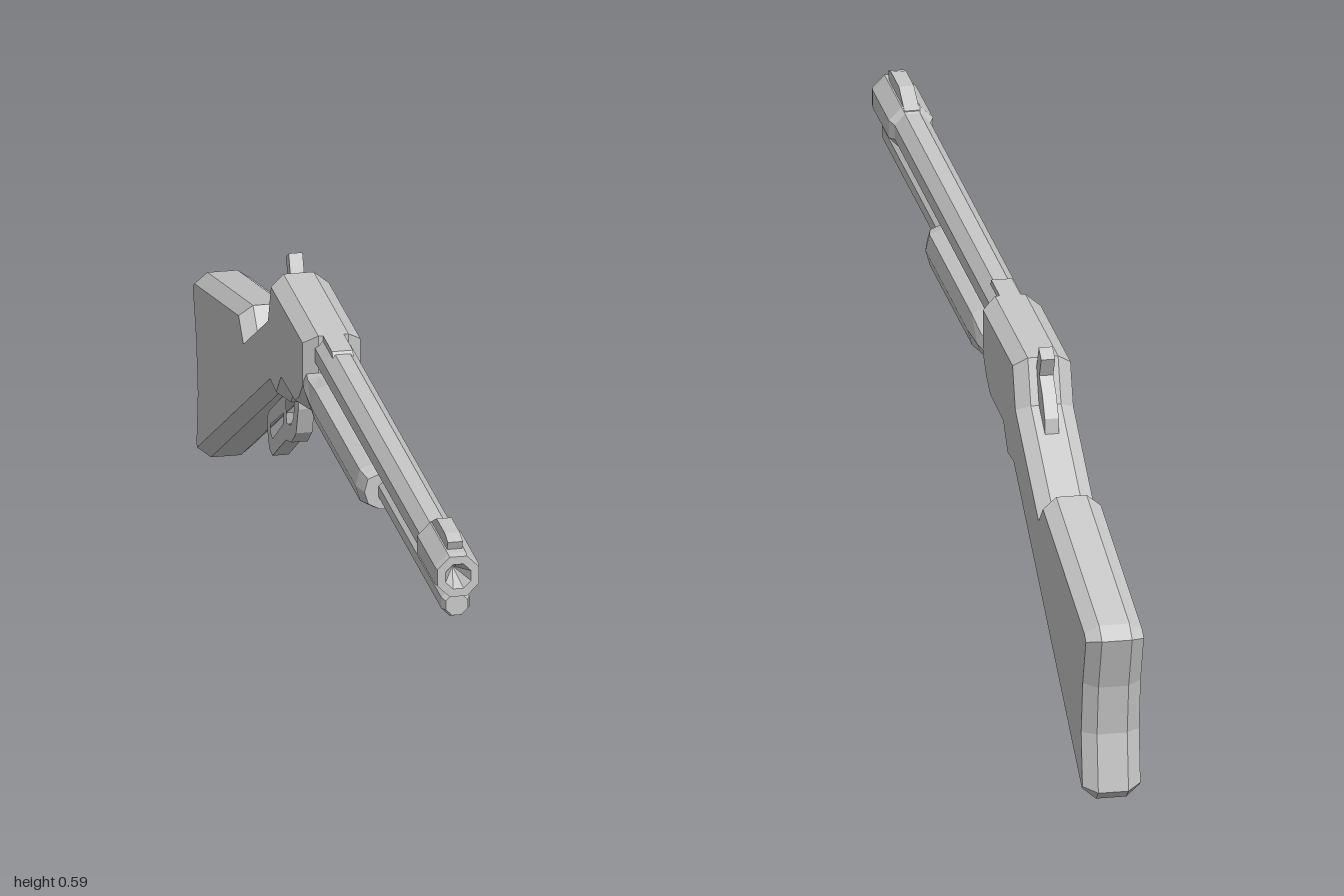
import * as THREE from 'three';

const steel = new THREE.MeshStandardMaterial({ color: 0xc8c8c8, flatShading: true });
steel.name = 'grey';

function add(parent, name, geometry) {
  const mesh = new THREE.Mesh(geometry, steel);
  mesh.name = name;
  parent.add(mesh);
}

function faceted(geometry) {
  const g = geometry.index ? geometry.toNonIndexed() : geometry;
  g.computeVertexNormals();
  return g;
}

const toPoints = (list) => list.map(([a, b]) => new THREE.Vector2(a, b));

// Side outline in (z, y), made into a slab of the given half width;
// chamfer is [inset across x, inset within the outline]
function slab(outline, half, chamfer = [0, 0], holes = []) {
  const shape = new THREE.Shape(toPoints(outline));
  holes.forEach((h) => shape.holes.push(new THREE.Path(toPoints(h))));
  const [across, inset] = chamfer;
  const depth = 2 * (half - across);
  const g = new THREE.ExtrudeGeometry(shape, {
    depth, bevelEnabled: across > 0, bevelThickness: across,
    bevelSize: inset, bevelOffset: -inset, bevelSegments: 1,
  });
  g.translate(0, 0, -depth / 2);
  g.rotateY(-Math.PI / 2);
  return faceted(g);
}

// Octagonal turning along z; profile in (distance to flat, z)
function octagon(profile, y) {
  const k = 1 / Math.cos(Math.PI / 8);
  const g = new THREE.LatheGeometry(toPoints(profile.map(([r, z]) => [r * k, z])), 8, Math.PI / 8);
  g.rotateX(Math.PI / 2);
  g.translate(0, y, 0);
  return faceted(g);
}

// Loft of one anticlockwise cross-section, front to back; rings are [z, x scale, y scale]
function loft(section, rings, centreY) {
  const n = section.length, pos = [], idx = [];
  for (const [z, sx, sy] of rings) {
    for (const [x, y] of section) pos.push(x * sx, centreY + (y - centreY) * sy, z);
  }
  for (let r = 0; r < rings.length - 1; r++) {
    for (let i = 0; i < n; i++) {
      const a = r * n + i, b = r * n + (i + 1) % n;
      idx.push(a, a + n, b, b, a + n, b + n);
    }
  }
  const last = (rings.length - 1) * n;
  for (let i = 1; i < n - 1; i++) {
    idx.push(0, i, i + 1, last, last + i + 1, last + i);
  }
  const g = new THREE.BufferGeometry();
  g.setAttribute('position', new THREE.Float32BufferAttribute(pos, 3));
  g.setIndex(idx);
  return faceted(g);
}

export function createModel() {
  const model = new THREE.Group();
  model.name = 'leverActionRifle';

  // Receiver, wrist and shoulder stock in one chamfered body
  add(model, 'receiverAndStock', slab([
    [-0.045, 0.567], [-0.045, 0.465], [-0.08, 0.428], [-0.12, 0.405], [-0.235, 0.402],
    [-0.275, 0.358], [-0.33, 0.363], [-0.945, 0], [-0.967, 0.018], [-0.955, 0.12],
    [-0.968, 0.21], [-1, 0.305], [-0.974, 0.325], [-0.592, 0.412], [-0.555, 0.378],
    [-0.365, 0.49], [-0.338, 0.567],
  ], 0.05, [0.024, 0.017]));

  // Barrel with thicker muzzle and conical bore
  add(model, 'barrel', octagon([
    [0, -0.1], [0.031, -0.1], [0.031, 0.825], [0.038, 0.84], [0.038, 0.985],
    [0.036, 1], [0.022, 1], [0, 0.95],
  ], 0.531));
  add(model, 'magazineTube', octagon([
    [0, -0.1], [0.024, -0.1], [0.024, 0.975], [0.019, 0.987], [0, 0.987],
  ], 0.475));

  // Hand guard under the barrel
  const half = [[0.026, 0.434], [0.049, 0.447], [0.057, 0.475], [0.05, 0.504], [0.03, 0.512]];
  const section = [...half, ...half.slice().reverse().map(([x, y]) => [-x, y])];
  const rings = [[0.45, 0.85, 0.8], [0.415, 1, 1], [0.04, 1, 1], [-0.03, 0.95, 0.62], [-0.09, 0.8, 0.6]];
  add(model, 'handGuard', loft(section, rings, 0.48));

  // Sight and raised strip ahead of the receiver
  add(model, 'frontSight', slab([
    [0.965, 0.56], [0.975, 0.584], [0.95, 0.591], [0.88, 0.591], [0.83, 0.566], [0.83, 0.55],
  ], 0.013));
  add(model, 'barrelStrip', slab([
    [0.04, 0.55], [0.03, 0.567], [-0.07, 0.567], [-0.07, 0.55],
  ], 0.018));

  // Hammer
  add(model, 'hammer', slab([
    [-0.362, 0.594], [-0.385, 0.58], [-0.368, 0.545], [-0.395, 0.52],
    [-0.417, 0.485], [-0.42, 0.445], [-0.34, 0.46], [-0.335, 0.535],
  ], 0.012));

  // Trigger guard and finger loop
  add(model, 'lever', slab([
    [-0.27, 0.385], [-0.272, 0.345], [-0.29, 0.295], [-0.33, 0.263], [-0.375, 0.25],
    [-0.488, 0.178], [-0.515, 0.181], [-0.53, 0.208], [-0.527, 0.24], [-0.508, 0.254],
    [-0.405, 0.317], [-0.39, 0.35], [-0.37, 0.385],
  ], 0.014, [0, 0], [
    [[-0.3, 0.37], [-0.312, 0.315], [-0.337, 0.291], [-0.366, 0.285], [-0.375, 0.315], [-0.36, 0.365]],
    [[-0.396, 0.291], [-0.4, 0.269], [-0.486, 0.21], [-0.502, 0.215], [-0.504, 0.229]],
  ]));
  add(model, 'trigger', slab([
    [-0.32, 0.39], [-0.322, 0.34], [-0.308, 0.305], [-0.32, 0.302], [-0.338, 0.335], [-0.343, 0.39],
  ], 0.008));

  return model;
}
